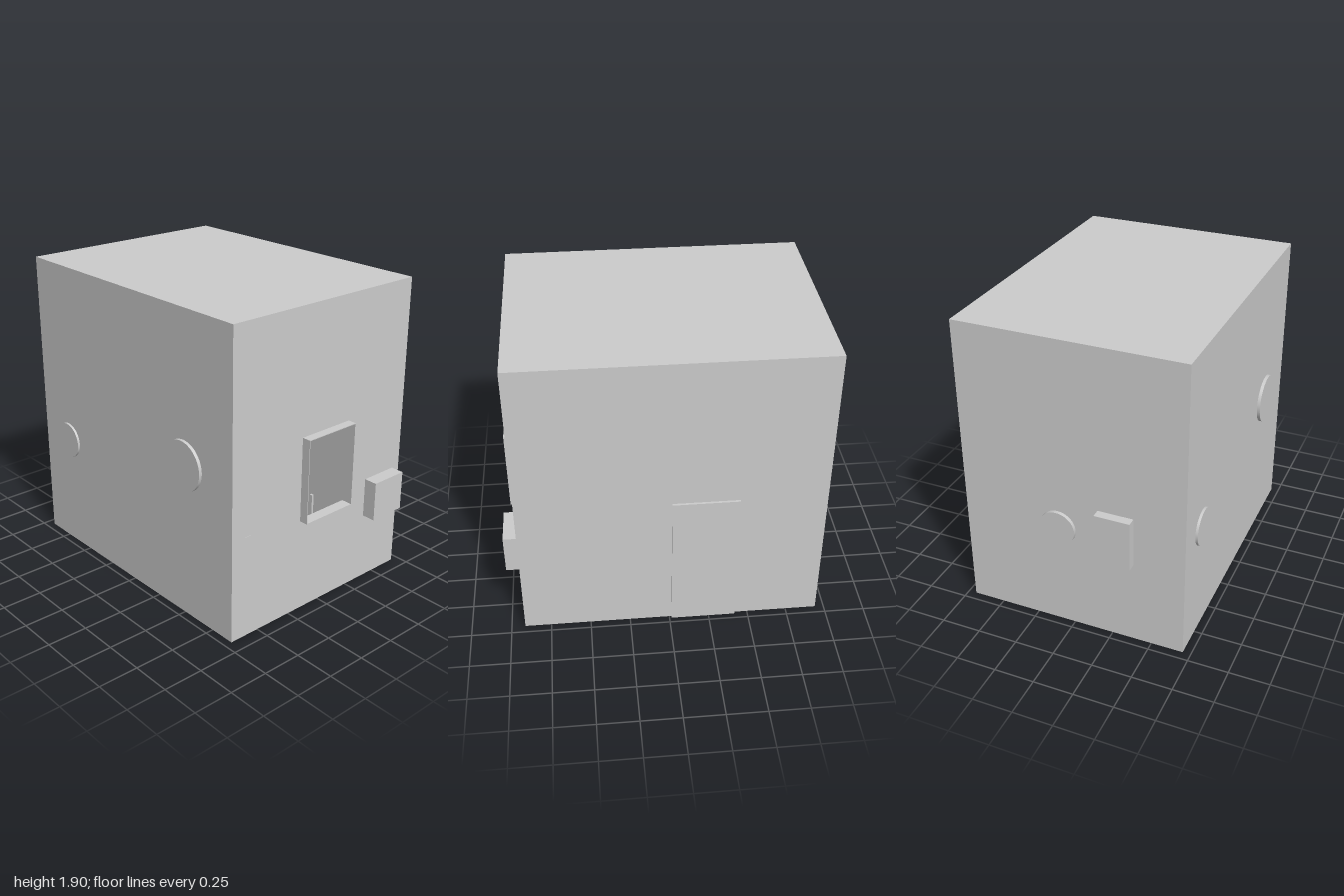
import * as THREE from 'three';

const material = new THREE.MeshStandardMaterial({ color: 0xcccccc, side: THREE.DoubleSide });

export function createModel() {
  const model = new THREE.Group();
  const add = (name, geometry) => {
    const mesh = new THREE.Mesh(geometry, material);
    mesh.name = name;
    model.add(mesh);
    return mesh;
  };
  // Box given by its extents along each axis
  const box = (name, [x0, x1], [y0, y1], [z0, z1]) =>
    add(name, new THREE.BoxGeometry(x1 - x0, y1 - y0, z1 - z0))
      .position.set((x0 + x1) / 2, (y0 + y1) / 2, (z0 + z1) / 2);

  const W = 0.7, H = 1.9, F = 0.915, B = -0.945, T = 0.02;
  const win = { x: [-0.17, 0.21], y: [0.595, 1.125] };

  // Hollow room: front wall with a window opening, then the plain walls
  const wall = new THREE.Shape([[-W, 0], [W, 0], [W, H], [-W, H]].map(p => new THREE.Vector2(...p)));
  const [l, r] = win.x, [b, t] = win.y;
  wall.holes.push(new THREE.Path([[l, b], [l, t], [r, t], [r, b]].map(p => new THREE.Vector2(...p))));
  add('frontWall', new THREE.ExtrudeGeometry(wall, { depth: T, bevelEnabled: false })).position.z = F - T;
  const depth = [B, F - T], inner = [-W + T, W - T];
  box('rightWall', [-W, -W + T], [0, H], depth);
  box('leftWall', [W - T, W], [0, H], depth);
  box('backWall', inner, [0, H], [B, B + T]);
  box('floor', inner, [0, T], [B + T, F - T]);
  box('roof', inner, [H - T, H], [B + T, F - T]);

  // Open window frame standing out from the front wall
  const e = 0.004, frameDepth = [F, 0.97];
  box('windowFrameSide', [l, l + e], win.y, frameDepth);
  box('windowFrameSide', [r - e, r], win.y, frameDepth);
  box('windowFrameTop', [l + e, r - e], [t - e, t], frameDepth);
  box('windowFrameSill', [l + e, r - e], [b, b + e], frameDepth);

  // Fittings on the outside
  box('frontBox', [0.39, 0.64], [0.435, 0.685], [F - 0.03, 1]);
  box('frontSlot', [-0.605, -0.56], [0.643, 0.647], [F - 0.01, F + 0.002]);
  box('door', [W - 0.03, 0.715], [0, 0.935], [-0.417, -0.013]);
  box('backBox', [-0.385, -0.165], [0.55, 0.87], [-1, B + 0.05]);

  // Round plates on the back and right walls
  const disc = (name, radius, thickness, x, y, z, axis) => {
    const geometry = new THREE.CylinderGeometry(radius, radius, thickness, 40);
    if (axis === 'x') geometry.rotateZ(Math.PI / 2);
    else geometry.rotateX(Math.PI / 2);
    add(name, geometry).position.set(x, y, z);
  };
  disc('backPlate', 0.113, 0.06, 0.09, 0.685, -0.937, 'z');
  disc('backPlateInset', 0.1, 0.02, 0.09, 0.685, -0.9, 'z');
  disc('largeSidePlate', 0.155, 0.06, -0.69, 0.975, 0.507, 'x');
  disc('smallSidePlate', 0.115, 0.06, -0.685, 0.735, -0.675, 'x');

  // Furnishings seen through the window
  box('plateKnob', [0.078, 0.102], [0.736, 0.754], [-0.89, -0.87]);
  box('bench', [-0.68, -0.3], [T, 0.27], [-0.4, 0.4]);
  box('cabinet', [-0.59, -0.455], [0.27, 0.65], [0, 0.2]);
  box('post', [0.024, 0.038], [T, 0.66], [0.8, 0.82]);

  return model;
}
